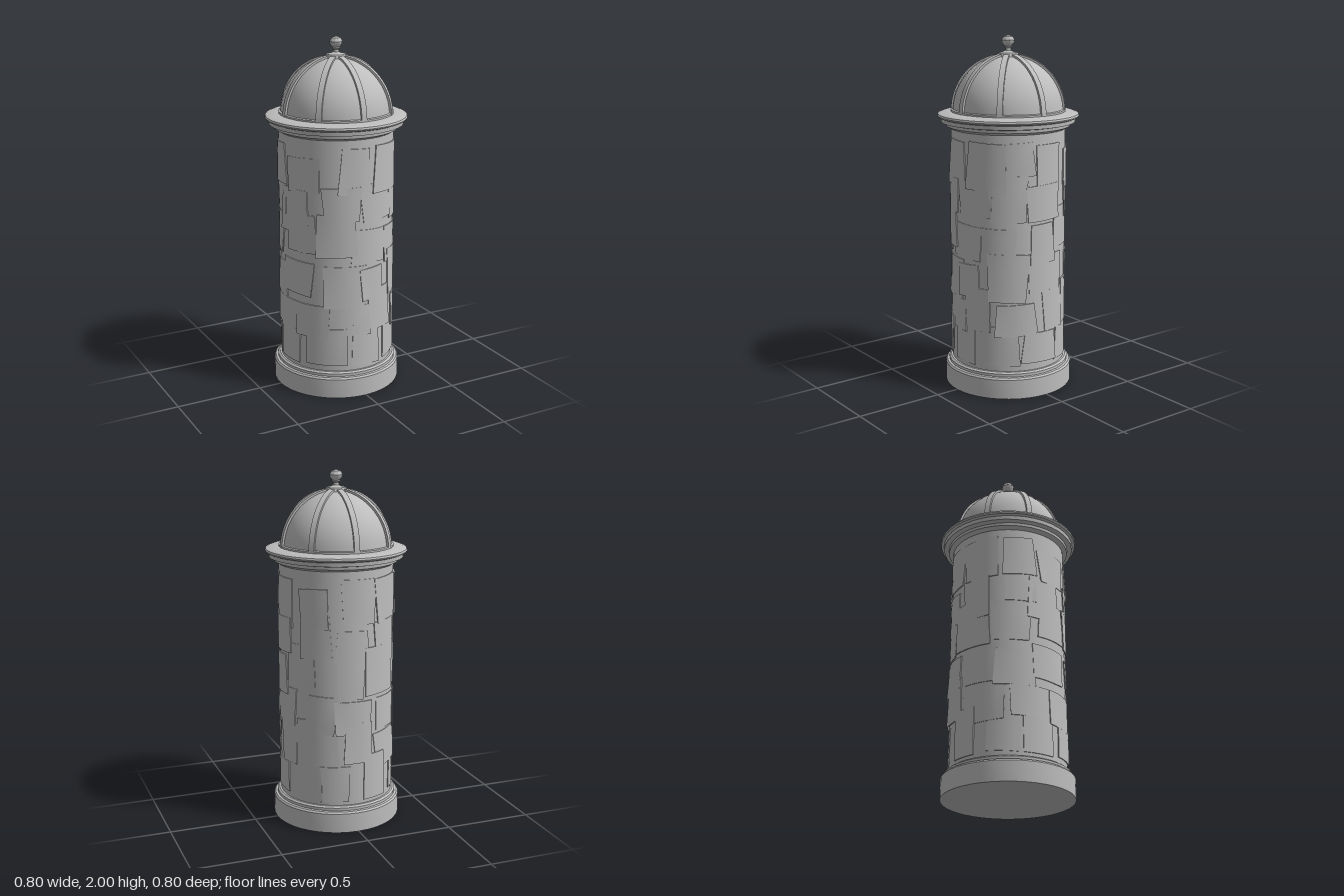
import * as THREE from 'three';
import { toCreasedNormals } from 'three/addons/utils/BufferGeometryUtils.js';

const stone = new THREE.MeshStandardMaterial({ color: 0xbebebe });
stone.name = 'light grey';

export function createModel() {
  const column = new THREE.Group();
  column.name = 'advertisingColumn';

  let seed = 7;
  const rand = (a, b) => {
    seed = (seed * 16807) % 2147483647;
    return a + (b - a) * (seed / 2147483647);
  };

  const add = (name, geometry, parent = column) => {
    const mesh = new THREE.Mesh(toCreasedNormals(geometry, 0.55), stone);
    mesh.name = name;
    parent.add(mesh);
    return mesh;
  };
  const turned = (name, profile, sides = 40) =>
    add(name, new THREE.LatheGeometry(profile.map(([r, y]) => new THREE.Vector2(r, y)), sides));

  // Plinth, shaft and cornice
  turned('plinth', [[0, 0], [0.366, 0], [0.366, 0.112], [0.358, 0.122], [0.345, 0.124],
    [0.345, 0.14], [0.334, 0.148], [0.32, 0.148]]);
  turned('shaft', [[0.323, 0.14], [0.323, 1.49]], 48);
  turned('cornice', [[0.32, 1.484], [0.336, 1.494], [0.348, 1.5], [0.35, 1.516], [0.378, 1.522],
    [0.38, 1.544], [0.396, 1.55], [0.4, 1.558], [0.396, 1.568], [0.375, 1.575], [0.33, 1.58], [0.3, 1.582]]);

  // Dome
  const domeR = 0.312, domeY = 1.578;
  const dome = [[0.322, 1.575], [0.322, 1.59], [domeR, 1.594]];
  for (let i = 1; i <= 14; i++) {
    const a = 0.05 + (i / 14) * (Math.PI / 2 - 0.05);
    dome.push([domeR * Math.cos(a), domeY + domeR * Math.sin(a)]);
  }
  turned('dome', dome);

  // Eight raised ribs, each a narrow arched band
  const ribs = new THREE.Group();
  ribs.name = 'domeRibs';
  column.add(ribs);
  const arch = new THREE.Shape();
  arch.absarc(0, 0, domeR + 0.011, 0, 1.45, false);
  arch.absarc(0, 0, domeR - 0.012, 1.45, 0, true);
  const ribGeometry = new THREE.ExtrudeGeometry(arch, { depth: 0.032, bevelEnabled: false, curveSegments: 14 });
  ribGeometry.translate(0, domeY, -0.016);
  for (let i = 0; i < 8; i++) add('domeRib', ribGeometry, ribs).rotation.y = (i * Math.PI) / 4;

  // Finial: collar, neck and faceted ball
  turned('finialCollar', [[0.07, 1.876], [0.06, 1.893], [0.056, 1.903], [0.03, 1.908], [0.016, 1.915],
    [0.015, 1.928], [0.024, 1.936], [0.02, 1.942]], 16);
  turned('finialBall', [[0.016, 1.934], [0.034, 1.958], [0.037, 1.972], [0.026, 1.992], [0, 2]], 10);

  // Overlapping paper posters: thin plates bent round the shaft, slightly skewed and curling
  const posters = new THREE.Group();
  posters.name = 'posters';
  column.add(posters);
  const poster = (angle, y, w, h, radius) => {
    const g = new THREE.BoxGeometry(w, h, 0.006, 6, 5, 1);
    const p = g.attributes.position;
    const skew = rand(-0.06, 0.06), taper = rand(-0.1, 0.1);
    const curl = rand(0, 0.011), side = rand(0, 1) < 0.5 ? -1 : 1;
    for (let i = 0; i < p.count; i++) {
      const u = (2 * p.getX(i)) / w, v = (2 * p.getY(i)) / h;
      const lift = curl * Math.max(0, u * side) ** 2 * (0.5 - 0.5 * v);
      const a = angle + (p.getX(i) * (1 + taper * v) + skew * p.getY(i)) / 0.325;
      const r = radius + p.getZ(i) + lift;
      p.setXYZ(i, r * Math.sin(a), y + p.getY(i) - skew * p.getX(i), r * Math.cos(a));
    }
    g.computeVertexNormals();
    add('poster', g, posters);
  };
  for (let row = 0; row < 6; row++) {
    const count = 9;
    const start = rand(0, 1);
    for (let i = 0; i < count; i++) {
      const h = rand(0.17, 0.28), w = rand(0.14, 0.25);
      const y = Math.min(1.44 - h / 2, Math.max(0.17 + h / 2, 0.28 + row * 0.208 + rand(-0.05, 0.05)));
      poster(start + ((i + rand(-0.2, 0.2)) / count) * Math.PI * 2, y, w, h, 0.3235 + ((row + i) % 3) * 0.0022);
    }
  }

  return column;
}
